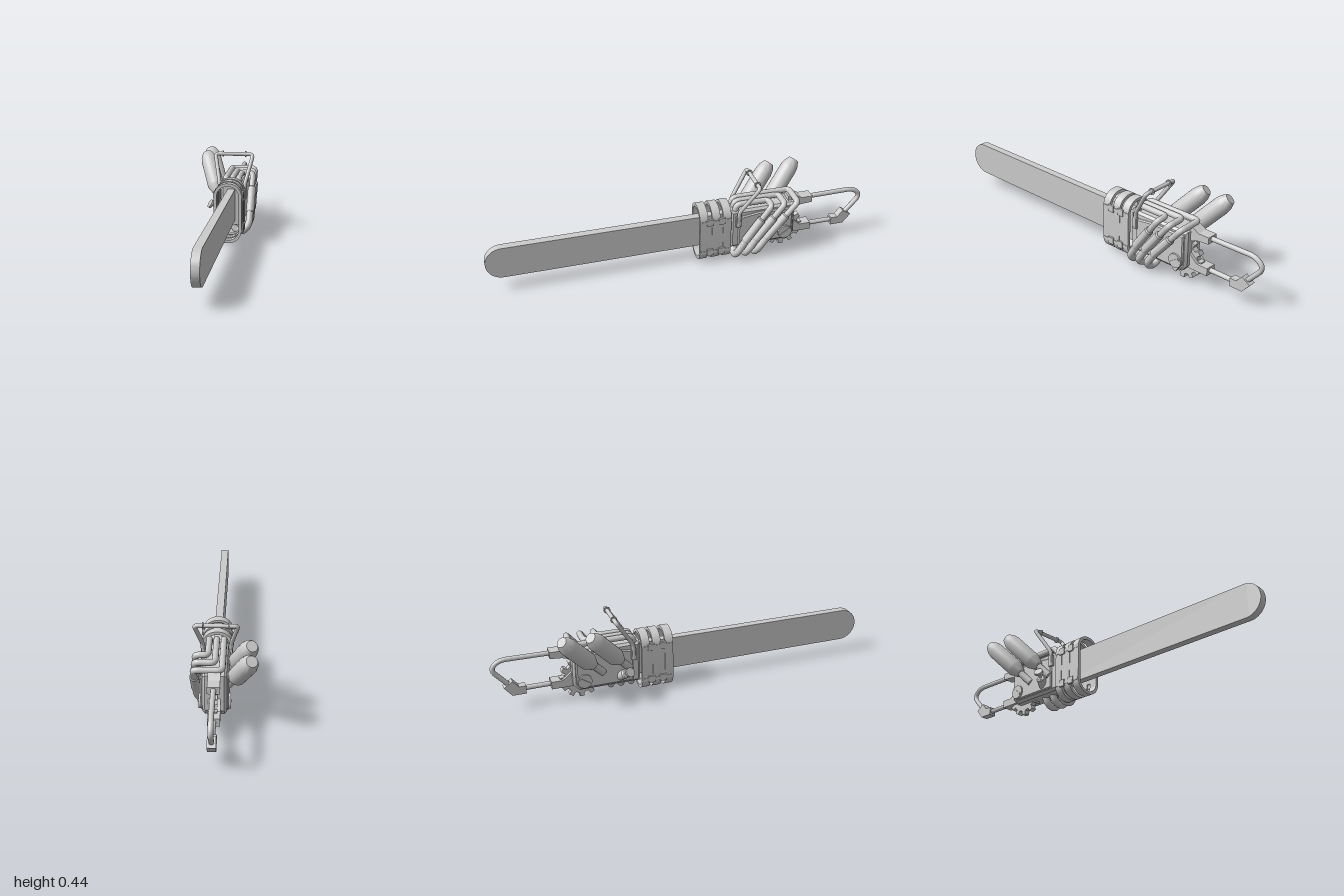
import * as THREE from 'three';
import { toCreasedNormals } from 'three/addons/utils/BufferGeometryUtils.js';

const CX = 0.045; // centre plane of the saw
const V = (x, y, z) => new THREE.Vector3(x, y, z);
const mat = new THREE.MeshStandardMaterial({ color: 0xcccccc, side: THREE.DoubleSide });

export function createModel() {
  const model = new THREE.Group();

  const add = (name, geo, parent = model) => {
    const m = new THREE.Mesh(geo, mat);
    m.name = name;
    parent.add(m);
    return m;
  };
  const group = (name) => {
    const g = new THREE.Group();
    g.name = name;
    model.add(g);
    return g;
  };
  const box = (name, w, h, d, x, y, z, parent) =>
    add(name, new THREE.BoxGeometry(w, h, d).translate(x, y, z), parent);

  // Side outline in (-z, y), extruded across x about the centre plane
  const slab = (name, shape, width, bevel = 0, parent = model) => {
    const geo = new THREE.ExtrudeGeometry(shape, {
      depth: width - 2 * bevel, curveSegments: 16, bevelEnabled: bevel > 0,
      bevelThickness: bevel, bevelSize: bevel, bevelOffset: -bevel, bevelSegments: 1,
    });
    geo.translate(0, 0, bevel - width / 2).rotateY(Math.PI / 2).translate(CX, 0, 0);
    return add(name, toCreasedNormals(geo, 0.5), parent);
  };
  const poly = (pts) => new THREE.Shape(pts.map((p) => new THREE.Vector2(p[0], p[1])));

  const roundRect = (w, h, r, Type = THREE.Shape) => {
    const s = new Type(), a = w / 2 - r, b = h / 2 - r;
    s.absarc(a, b, r, 0, Math.PI / 2);
    s.absarc(-a, b, r, Math.PI / 2, Math.PI);
    s.absarc(-a, -b, r, Math.PI, Math.PI * 1.5);
    s.absarc(a, -b, r, Math.PI * 1.5, Math.PI * 2);
    s.closePath();
    return s;
  };

  // Tube along straight runs with rounded corners
  const pipe = (name, pts, radius, bend, parent = model) => {
    const path = new THREE.CurvePath();
    let from = pts[0];
    for (let i = 1; i < pts.length - 1; i++) {
      const toward = (q) => {
        const d = q.clone().sub(pts[i]);
        return pts[i].clone().addScaledVector(d, Math.min(0.49, bend / d.length()));
      };
      const a = toward(pts[i - 1]), b = toward(pts[i + 1]);
      path.add(new THREE.LineCurve3(from, a));
      path.add(new THREE.QuadraticBezierCurve3(a, pts[i], b));
      from = b;
    }
    path.add(new THREE.LineCurve3(from, pts[pts.length - 1]));
    return add(name, new THREE.TubeGeometry(path, 90, radius, 14), parent);
  };

  // Turned profile [radius, distance] placed from a towards b
  const turned = (name, profile, a, b, parent = model) => {
    const geo = new THREE.LatheGeometry(profile.map((p) => new THREE.Vector2(p[0], p[1])), 24);
    const m = add(name, toCreasedNormals(geo, 0.4), parent);
    m.position.copy(a);
    m.quaternion.setFromUnitVectors(V(0, 1, 0), b.clone().sub(a).normalize());
    return m;
  };

  // Guide bar with a round nose
  const bar = new THREE.Shape();
  bar.moveTo(0.3, 0.088);
  bar.lineTo(0.3, 0.26);
  bar.lineTo(-0.914, 0.26);
  bar.absarc(-0.914, 0.174, 0.086, Math.PI / 2, Math.PI * 1.5);
  bar.closePath();
  slab('guideBar', bar, 0.04);

  // Engine body, its side covers and cover bolts
  slab('engineBody', poly([[0.25, 0.065], [0.25, 0.286], [0.6, 0.286], [0.6, 0.1], [0.57, 0.065]]), 0.114, 0.012);
  slab('sideCovers', poly([[0.29, 0.08], [0.29, 0.25], [0.4, 0.265], [0.585, 0.265], [0.585, 0.11], [0.56, 0.08]]), 0.132, 0.006);
  for (const s of [-1, 1]) {
    const bolt = group('coverBolt');
    add('boltHead', new THREE.CylinderGeometry(0.037, 0.037, 0.012, 24).rotateZ(Math.PI / 2)
      .translate(CX + s * 0.069, 0.122, -0.545), bolt);
    const slot = box('boltRidge', 0.006, 0.012, 0.06, 0, 0, 0, bolt);
    slot.position.set(CX + s * 0.076, 0.122, -0.545);
    slot.rotation.x = 0.6;
  }

  // Drive sprocket
  const teeth = [];
  const N = 12;
  for (let i = 0; i < N; i++) {
    for (const [f, r] of [[-0.27, 0.088], [-0.2, 0.11], [0.2, 0.11], [0.27, 0.088]]) {
      const t = ((i + f) / N) * Math.PI * 2;
      teeth.push([0.55 + r * Math.cos(t), 0.12 + r * Math.sin(t)]);
    }
  }
  slab('sprocket', poly(teeth), 0.03);

  // Three front guard rings tied together by clips and side panels
  const guard = group('frontGuard');
  for (const z of [-0.123, -0.188, -0.247]) {
    const s = roundRect(0.148, 0.32, 0.07);
    s.holes.push(roundRect(0.116, 0.288, 0.054, THREE.Path));
    const geo = new THREE.ExtrudeGeometry(s, { depth: 0.043, bevelEnabled: false, curveSegments: 10 });
    add('guardRing', toCreasedNormals(geo.translate(CX, 0.165, z), 0.5), guard);
  }
  for (const s of [-1, 1]) {
    box('guardPanel', 0.01, 0.155, 0.14, CX + s * 0.066, 0.168, -0.165, guard);
    for (const y of [0.073, 0.255]) {
      box('guardClip', 0.012, 0.016, 0.165, CX + s * 0.07, y, -0.164, guard);
      for (const z of [-0.134, -0.196]) box('clipPad', 0.012, 0.036, 0.035, CX + s * 0.074, y, z, guard);
    }
  }

  // Three exhaust pipes: along the top, out to the left, down the side and under
  for (let i = 0; i < 3; i++) {
    const g = group('exhaustPipe');
    const x = 0.08 - i * 0.035, zTop = -0.455 - i * 0.07, zLow = -0.28 - i * 0.054;
    const top = V(0.142, 0.314, zTop), low = V(0.14, 0.07, zLow);
    const at = (y) => top.clone().lerp(low, (top.y - y) / (top.y - low.y));
    pipe('upperPipe', [V(x, 0.27, -0.275), V(x, 0.314, -0.285), V(x, 0.314, zTop), top, at(0.14)], 0.0155, 0.025, g);
    pipe('lowerPipe', [at(0.15), V(0.138, 0.055, zLow), V(0.105, 0.02, zLow + 0.005),
      V(0.062, 0.028, zLow), V(0.042, 0.085, zLow - 0.01)], 0.019, 0.03, g);
    const a = at(0.245), b = at(0.12), L = a.distanceTo(b);
    turned('muffler', [[0, 0], [0.017, 0], [0.022, 0.006], [0.022, L - 0.006], [0.019, L], [0, L]], a, b, g);
  }

  // Two canisters leaning out to the right and back
  for (const dz of [0, -0.14]) {
    turned('canister', [[0, -0.06], [0.019, -0.06], [0.019, 0.025], [0.026, 0.03], [0.045, 0.075],
      [0.045, 0.24], [0.04, 0.268], [0.027, 0.295], [0, 0.295]],
    V(-0.035, 0.195, -0.345 + dz), V(-0.125, 0.405, -0.53 + dz));
  }

  // Filler neck with a turning knob
  turned('fillerKnob', [[0, -0.02], [0.024, -0.02], [0.024, 0.042], [0.018, 0.048], [0.008, 0.05],
    [0.008, 0.078], [0.024, 0.078], [0.024, 0.09], [0, 0.09]],
  V(-0.012, 0.115, -0.355), V(-0.08, 0.16, -0.325));

  // Top carrying handle
  const carry = group('topHandle');
  const leg = (s) => [V(CX + s * 0.067, 0.2, -0.288), V(CX + s * 0.069, 0.285, -0.29), V(CX + s * 0.104, 0.43, -0.383)];
  pipe('handleTube', [...leg(-1), ...leg(1).reverse()], 0.0105, 0.02, carry);
  for (const s of [-1, 1]) {
    add('handleCollar', new THREE.CylinderGeometry(0.017, 0.017, 0.006, 20).rotateZ(Math.PI / 2)
      .translate(CX + s * 0.062, 0.43, -0.383), carry);
    box('handleFoot', 0.014, 0.06, 0.028, CX + s * 0.068, 0.23, -0.288, carry);
  }

  // Rear handle: brackets, rod loop and angled grip block
  const rear = group('rearHandle');
  slab('upperBracket', poly([[0.57, 0.225], [0.57, 0.31], [0.61, 0.31], [0.645, 0.29], [0.705, 0.29], [0.705, 0.255], [0.645, 0.25]]), 0.058, 0, rear);
  slab('lowerBracket', poly([[0.57, 0.085], [0.57, 0.165], [0.6, 0.165], [0.645, 0.125], [0.705, 0.125], [0.705, 0.085]]), 0.058, 0, rear);
  pipe('rodLoop', [V(CX, 0.274, -0.68), V(CX, 0.278, -0.95), V(CX, 0.232, -0.996), V(CX, 0.125, -0.9)], 0.0125, 0.04, rear);
  pipe('lowerRod', [V(CX, 0.105, -0.68), V(CX, 0.105, -0.86)], 0.0125, 0.02, rear);
  slab('gripBlock', poly([[0.83, 0.082], [0.83, 0.125], [0.865, 0.125], [0.895, 0.16], [0.94, 0.13], [0.9, 0.082]]), 0.04, 0, rear);

  return model;
}
